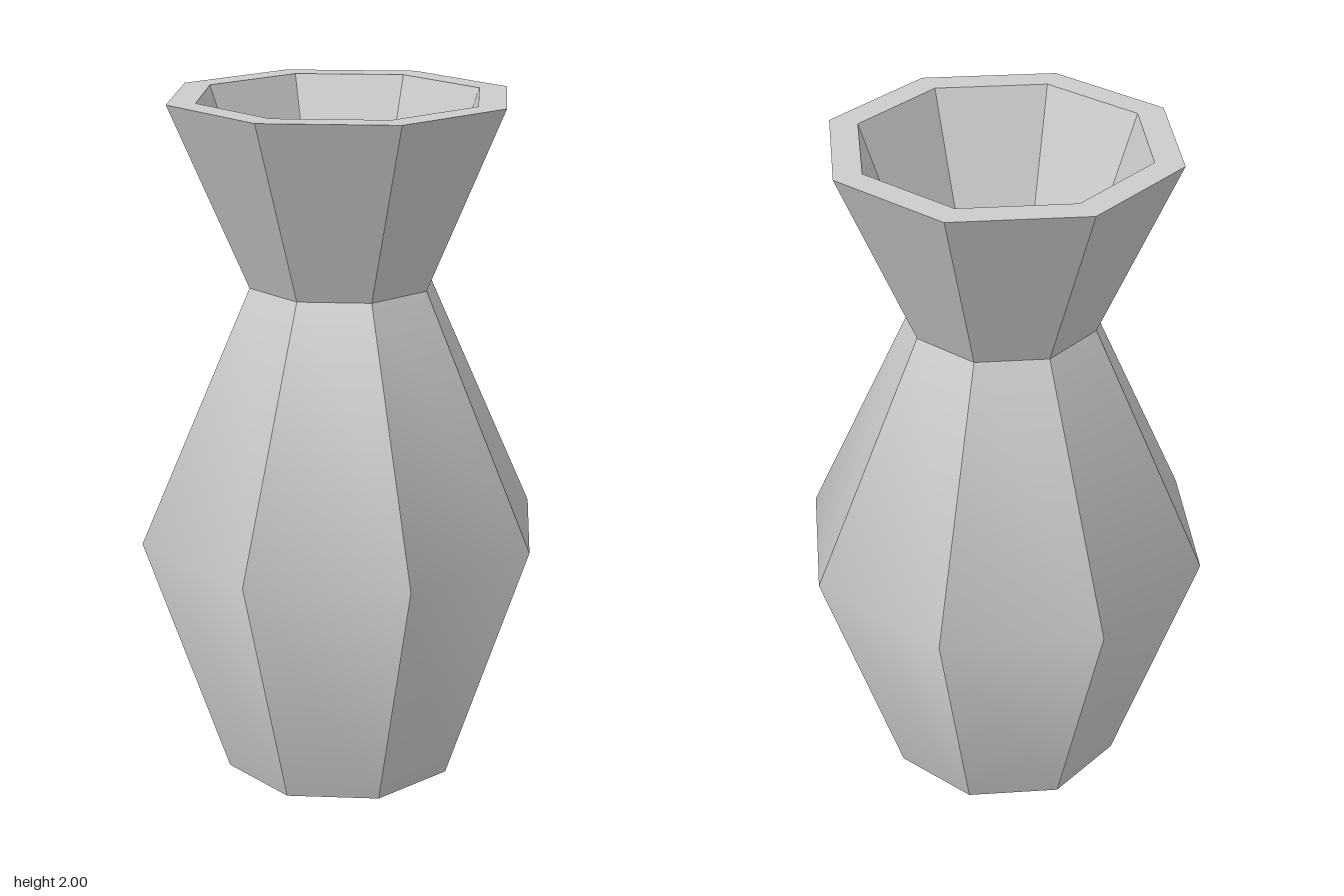
import * as THREE from 'three';
import { mergeGeometries } from 'three/addons/utils/BufferGeometryUtils.js';

const SIDES = 8;
const material = new THREE.MeshStandardMaterial({ color: 0xcccccc });

// Eight-sided band: hard edges between the sides, smooth along the profile.
function band(name, profile) {
  const points = profile.map(([r, y]) => new THREE.Vector2(r, y));
  const step = (Math.PI * 2) / SIDES;
  const facets = [];
  for (let i = 0; i < SIDES; i++) {
    const facet = new THREE.LatheGeometry(points, 1, i * step, step);
    facet.computeVertexNormals();
    facets.push(facet);
  }
  const mesh = new THREE.Mesh(mergeGeometries(facets), material);
  mesh.name = name;
  return mesh;
}

export function createModel() {
  const vase = new THREE.Group();
  vase.name = 'vase';

  // Ring sizes of the outside; the inside is the same form, narrower
  const base = [0.35, 0], belly = [0.6, 0.74], neck = [0.27, 1.47], lip = [0.5, 2];
  const inner = ([r, y]) => [r * 0.833, y];
  const floorRing = [0.31, 0.06];

  vase.add(
    // Outside, from the underside up to the rim
    band('base', [[0, 0], base]),
    band('body', [base, belly, neck]),
    band('flaredNeck', [neck, lip]),
    band('rim', [lip, inner(lip)]),
    // Inside, from the rim down to the floor
    band('neckInside', [inner(lip), inner(neck)]),
    band('bodyInside', [inner(neck), inner(belly), floorRing]),
    band('floorInside', [floorRing, [0, floorRing[1]]])
  );
  return vase;
}
